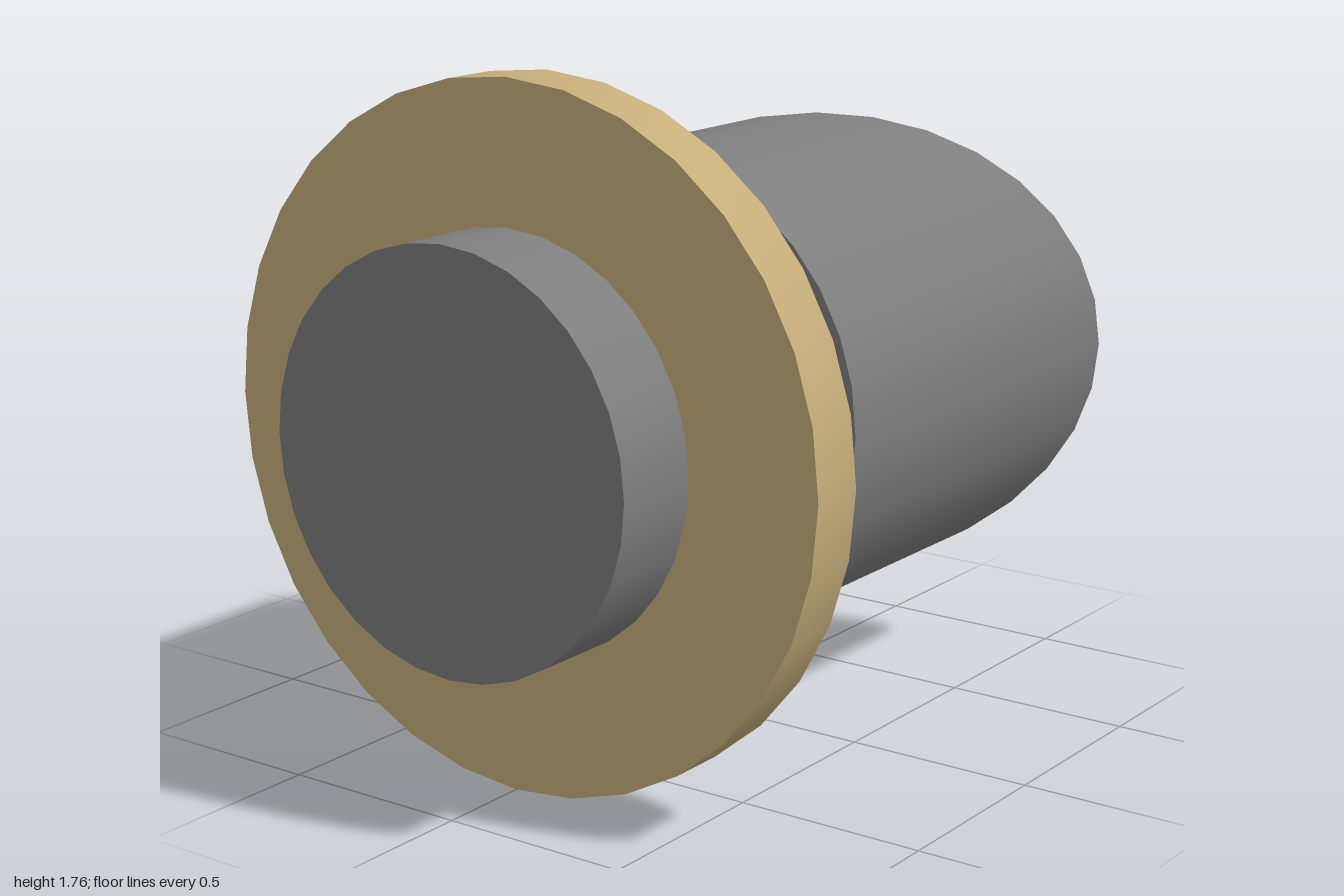
import * as THREE from 'three';
import { toCreasedNormals } from 'three/addons/utils/BufferGeometryUtils.js';

const SIDES = 32, AXIS_Y = 0.88;
const CUT = 9; // station marking the slanted mouth
const R_OUT = 0.638, R_BORE = 0.577, FLOOR = -0.4;

const grey = new THREE.MeshStandardMaterial({ name: 'gunmetal grey', color: 0x7e7e7e });
const tan = new THREE.MeshStandardMaterial({ name: 'brass tan', color: 0xc6ae7a });
const cream = new THREE.MeshStandardMaterial({ name: 'cream', color: 0xdacfb7 });

// Turned part along x from [x, radius] points; stations at CUT land on the slanted plane
function turned(name, material, points) {
  const geo = new THREE.LatheGeometry(points.map(([x, r]) => new THREE.Vector2(r, x)), SIDES);
  geo.rotateZ(-Math.PI / 2);
  const p = geo.attributes.position;
  for (let i = 0; i < p.count; i++) {
    let x = p.getX(i), y = p.getY(i), z = p.getZ(i);
    // the bore is slightly wider than it is high
    if (Math.abs(Math.hypot(y, z) - R_BORE) < 1e-4) {
      y *= 0.98;
      z *= 1.018;
    }
    if (x > CUT - 0.1) x = 0.55 + 0.705 * z;
    p.setXYZ(i, x, y + AXIS_Y, z);
  }
  const mesh = new THREE.Mesh(toCreasedNormals(geo, Math.PI / 6), material);
  mesh.name = name;
  return mesh;
}

export function createModel() {
  const group = new THREE.Group();
  group.name = 'slantCutNozzle';
  group.add(
    // solid rear stub
    turned('rearStub', grey, [[-1, 0], [-1, 0.525], [-0.45, 0.525], [-0.45, 0]]),
    // large flange and smaller collar
    turned('flange', tan, [[-0.757, 0.5], [-0.757, 0.88], [-0.603, 0.88], [-0.603, 0.5]]),
    turned('collar', tan, [[-0.492, 0.5], [-0.492, 0.638], [-0.35, 0.638], [-0.35, 0.595]]),
    // recessed neck in front of the collar
    turned('neck', grey, [[-0.36, 0.6], [-0.22, 0.6]]),
    // barrel with its slanted rim
    turned('barrel', grey, [[-0.23, 0.595], [-0.23, R_OUT], [CUT, R_OUT], [CUT, R_BORE]]),
    // hollow inside
    turned('boreWall', tan, [[CUT, R_BORE], [FLOOR, R_BORE]]),
    turned('boreFloor', cream, [[FLOOR, R_BORE], [FLOOR, 0]]),
  );
  return group;
}
